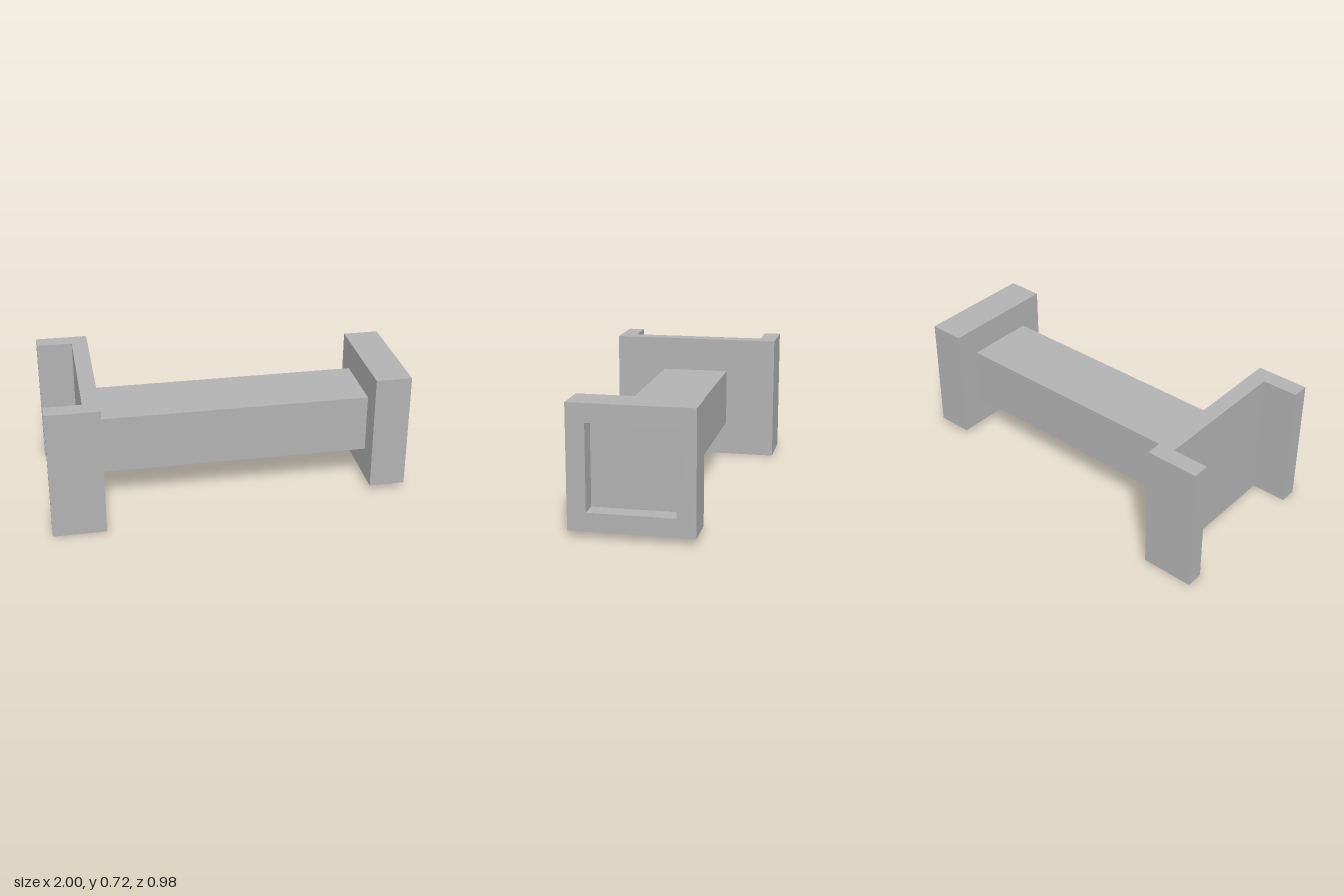
import * as THREE from 'three';

const grey = new THREE.MeshStandardMaterial({ color: 0xb2b2b2 });
grey.name = 'plain grey';

const loop = (points, Type = THREE.Shape) => new Type(points.map(([x, y]) => new THREE.Vector2(x, y)));
const rect = (w, y0, y1) => [[-w, y0], [w, y0], [w, y1], [-w, y1]];
const extrude = (shape, depth) => new THREE.ExtrudeGeometry(shape, { depth, bevelEnabled: false });

export function createModel() {
  const model = new THREE.Group();
  model.name = 'connectorBeam';
  const add = (name, geometry) => {
    const mesh = new THREE.Mesh(geometry, grey);
    mesh.name = name;
    model.add(mesh);
  };

  // U-shaped bracket, its plan extruded upwards
  const bracket = loop([
    [-1, -0.49], [-0.71, -0.49], [-0.71, 0.49], [-1, 0.49],
    [-1, 0.395], [-0.8, 0.395], [-0.8, -0.395], [-1, -0.395],
  ]);
  add('bracket', extrude(bracket, 0.724).rotateX(-Math.PI / 2));

  // Square-edged beam between the two ends
  add('beam', new THREE.BoxGeometry(1.51, 0.327, 0.394).translate(0.045, 0.3635, 0));

  // Socket block: a solid back and a rim around the square recess
  const back = loop(rect(0.329, 0.033, 0.691));
  add('socketBack', extrude(back, 0.1).rotateY(Math.PI / 2).translate(0.8, 0, 0));
  const rim = loop(rect(0.329, 0.033, 0.691));
  rim.holes.push(loop(rect(0.23, 0.132, 0.592), THREE.Path));
  add('socketRim', extrude(rim, 0.1).rotateY(Math.PI / 2).translate(0.9, 0, 0));

  return model;
}
